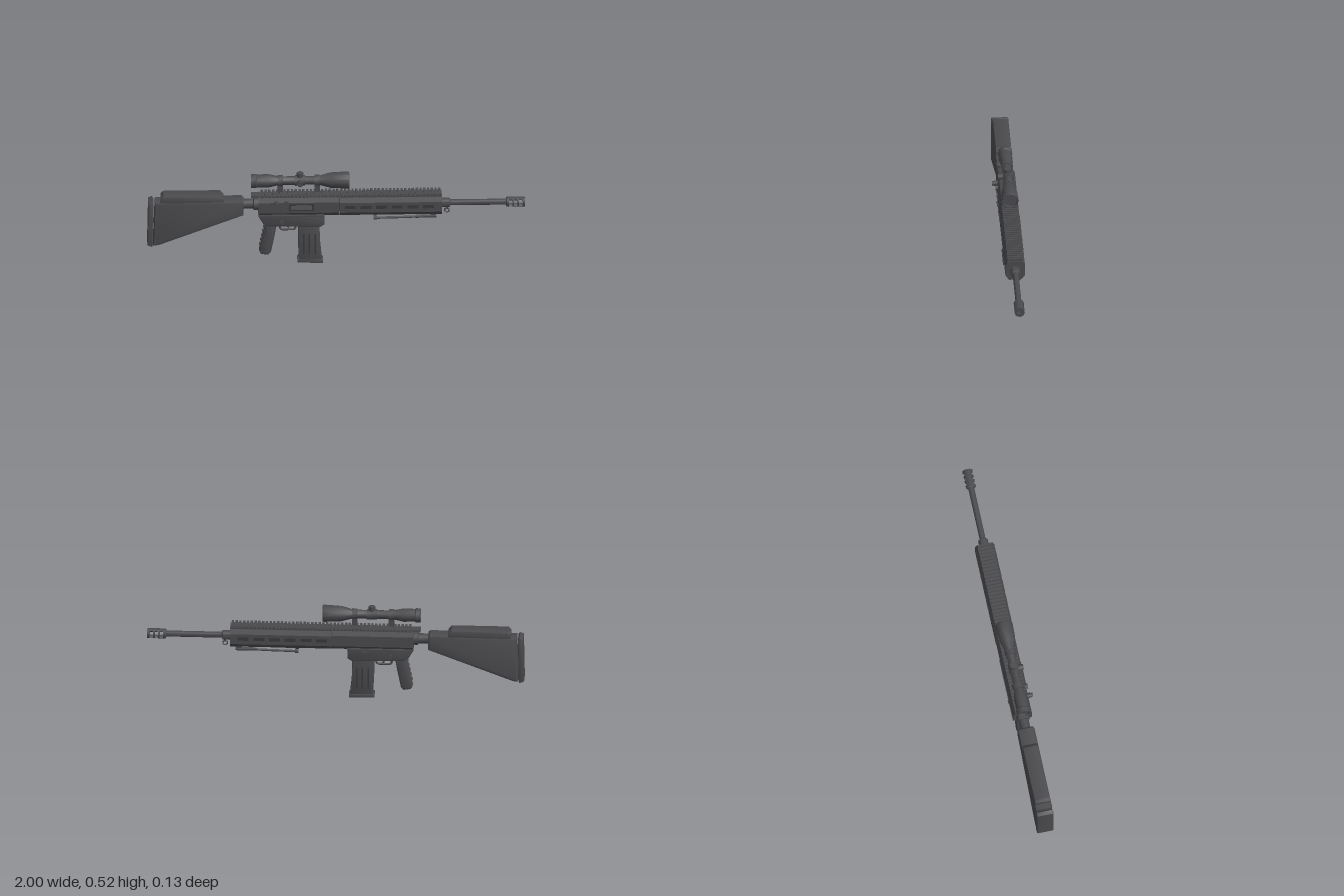
import * as THREE from 'three';
import { toCreasedNormals } from 'three/addons/utils/BufferGeometryUtils.js';

export function createModel() {
  const model = new THREE.Group();
  const body = new THREE.Group();
  body.name = 'rifle';
  body.position.z = -0.011;
  model.add(body);

  const gunmetal = new THREE.MeshStandardMaterial({ color: 0x4a4a4d });
  gunmetal.name = 'gunmetal';
  const recess = new THREE.MeshStandardMaterial({ color: 0x38383b });
  recess.name = 'dark recess';
  const steel = new THREE.MeshStandardMaterial({ color: 0x545759 });
  steel.name = 'worn steel';

  const add = (name, geo, mat = gunmetal) => {
    const mesh = new THREE.Mesh(geo, mat);
    mesh.name = name;
    body.add(mesh);
    return mesh;
  };
  // box given by its limits in x and y, its width and its middle in z
  const box = (name, x0, x1, y0, y1, w, z = 0, mat = gunmetal) => {
    const mesh = add(name, new THREE.BoxGeometry(x1 - x0, y1 - y0, w), mat);
    mesh.position.set((x0 + x1) / 2, (y0 + y1) / 2, z);
    return mesh;
  };
  // turned part along x from [x, radius] pairs
  const turned = (name, pts, y, z = 0, sides = 16) => {
    const geo = new THREE.LatheGeometry(pts.map(([x, r]) => new THREE.Vector2(r, x)), sides);
    geo.rotateZ(-Math.PI / 2);
    const mesh = add(name, toCreasedNormals(geo, 0.6));
    mesh.position.set(0, y, z);
    return mesh;
  };
  // side profile in x, y with bevelled flanks, centred on z = 0
  const slab = (name, pts, w, bevel) => {
    const shape = new THREE.Shape(pts.map(([x, y]) => new THREE.Vector2(x, y)));
    const geo = new THREE.ExtrudeGeometry(shape, {
      depth: w - 2 * bevel, bevelThickness: bevel, bevelSize: bevel, bevelOffset: -bevel, bevelSegments: 2,
    });
    geo.translate(0, 0, -w / 2 + bevel);
    return add(name, toCreasedNormals(geo, 0.6));
  };
  // eight-sided section in z, y pulled along x
  const housing = (name, x0, x1, half, y0, y1) => {
    const s = [[-half, y0 + 0.02], [-half + 0.015, y0], [half - 0.015, y0], [half, y0 + 0.02],
      [half, y1 - 0.025], [half - 0.012, y1], [-half + 0.012, y1], [-half, y1 - 0.025]];
    const geo = new THREE.ExtrudeGeometry(new THREE.Shape(s.map((p) => new THREE.Vector2(...p))),
      { depth: x1 - x0, bevelEnabled: false });
    geo.rotateY(Math.PI / 2);
    geo.translate(x0, 0, 0);
    return add(name, geo);
  };
  const tube = (name, pts, r) => add(name, new THREE.TubeGeometry(
    new THREE.CatmullRomCurve3(pts.map((p) => new THREE.Vector3(...p)), false, 'catmullrom', 0.1), 20, r, 8));
  const knob = (name, x, y, z0, z1, r) => {
    const mesh = add(name, new THREE.CylinderGeometry(r, r, z1 - z0, 12));
    mesh.rotation.x = Math.PI / 2;
    mesh.position.set(x, y, (z0 + z1) / 2);
  };

  // stock
  slab('buttPad', [[-1, 0.12], [-0.972, 0.11], [-0.967, 0.36], [-0.975, 0.372], [-0.995, 0.365]], 0.091, 0.006);
  slab('stock', [[-0.97, 0.115], [-0.94, 0.118], [-0.49, 0.288], [-0.49, 0.365], [-0.5, 0.375], [-0.96, 0.368]], 0.091, 0.014);
  slab('cheekRest', [[-0.93, 0.36], [-0.595, 0.36], [-0.595, 0.385], [-0.615, 0.405], [-0.915, 0.405], [-0.93, 0.39]], 0.085, 0.01);
  turned('stockNeck', [[-0.5, 0], [-0.5, 0.027], [-0.44, 0.027], [-0.435, 0.035], [-0.41, 0.035], [-0.41, 0]], 0.34);

  // upper receiver and handguard
  housing('receiver', -0.412, 0.018, 0.05, 0.285, 0.39);
  housing('handguard', 0.02, 0.56, 0.052, 0.285, 0.387);
  box('chargingHandle', -0.45, -0.405, 0.386, 0.397, 0.05);
  box('railBase', -0.4, 0.555, 0.382, 0.393, 0.074);
  for (let i = 0; i < 48; i++) box('railTooth', -0.398 + i * 0.02, -0.386 + i * 0.02, 0.39, 0.403, 0.08);
  for (const side of [1, -1]) {
    for (let i = 0; i < 6; i++) {
      const x = 0.045 + i * 0.083;
      box('handguardSlot', x, x + 0.058, 0.327, 0.345, 0.003, side * 0.0525, recess);
    }
  }
  box('portFrame', -0.25, -0.118, 0.318, 0.358, 0.006, 0.05, recess);
  box('ejectionPort', -0.24, -0.128, 0.326, 0.35, 0.006, 0.052, steel);
  knob('forwardAssist', -0.315, 0.361, 0.04, 0.066, 0.014);
  knob('assistTip', -0.315, 0.361, 0.066, 0.076, 0.011);
  knob('boltKnob', -0.262, 0.362, 0.04, 0.06, 0.014);

  // lower receiver
  slab('lowerReceiver', [[-0.412, 0.295], [-0.412, 0.28], [-0.385, 0.235], [-0.36, 0.222],
    [-0.085, 0.215], [-0.062, 0.23], [-0.062, 0.295]], 0.09, 0.01);
  box('receiverSeam', -0.41, -0.062, 0.283, 0.29, 0.104);
  knob('selector', -0.29, 0.252, -0.052, 0.052, 0.011);
  box('magazineRelease', -0.17, -0.14, 0.262, 0.278, 0.102);

  // trigger and guard
  tube('triggerGuard', [[-0.3, 0.225, 0], [-0.295, 0.192, 0], [-0.285, 0.187, 0], [-0.225, 0.187, 0],
    [-0.215, 0.195, 0], [-0.212, 0.225, 0]], 0.006);
  tube('trigger', [[-0.255, 0.225, 0], [-0.26, 0.21, 0], [-0.25, 0.196, 0]], 0.005);

  // pistol grip with finger ridges
  slab('grip', [[-0.375, 0.245], [-0.378, 0.2], [-0.408, 0.07], [-0.398, 0.05], [-0.36, 0.044],
    [-0.345, 0.06], [-0.325, 0.16], [-0.312, 0.235]], 0.056, 0.016);
  for (let i = 0; i < 5; i++) {
    const ridge = add('gripRidge', new THREE.CylinderGeometry(0.034, 0.034, 0.012, 14));
    ridge.scale.z = 0.85;
    ridge.rotation.z = -0.2;
    ridge.position.set(-0.352 - i * 0.0055, 0.205 - i * 0.026, 0);
  }

  // magazine
  slab('magazine', [[-0.202, 0.225], [-0.202, 0.12], [-0.197, 0.015], [-0.075, 0.015], [-0.085, 0.12], [-0.088, 0.225]], 0.054, 0.005);
  slab('magazineBase', [[-0.205, 0.003], [-0.07, 0], [-0.07, 0.02], [-0.205, 0.022]], 0.062, 0.003);
  for (const side of [1, -1]) {
    for (const x of [-0.172, -0.142, -0.112]) {
      box('magazineGroove', x - 0.004, x + 0.004, 0.05, 0.17, 0.004, side * 0.0265, recess);
    }
  }

  // barrel
  turned('barrel', [[0.55, 0], [0.55, 0.026], [0.6, 0.026], [0.605, 0.016], [0.9, 0.016], [0.905, 0]], 0.335);
  // muzzle brake: rings joined by upper and lower shells
  const rings = [[0.9, 0.916], [0.934, 0.943], [0.96, 0.969], [0.987, 1]];
  rings.forEach(([a, b], i) => turned('brakeRing', i === 0
    ? [[a, 0], [a, 0.022], [a + 0.005, 0.027], [b, 0.027], [b, 0]]
    : [[a, 0.011], [a, 0.027], [b, 0.027], [b, 0.011], [a, 0.011]], 0.335));
  for (const start of [-0.75, Math.PI - 0.75]) {
    const arc = new THREE.Shape();
    arc.absarc(0, 0, 0.0265, start + Math.PI / 2, start + Math.PI / 2 + 1.5, false);
    arc.absarc(0, 0, 0.017, start + Math.PI / 2 + 1.5, start + Math.PI / 2, true);
    const geo = new THREE.ExtrudeGeometry(arc, { depth: 0.09, bevelEnabled: false, curveSegments: 6 });
    geo.rotateY(Math.PI / 2);
    add('brakeShell', geo).position.set(0.905, 0.335, 0);
  }
  const loop = add('slingLoop', new THREE.TorusGeometry(0.012, 0.0035, 6, 14));
  loop.position.set(0.587, 0.29, 0);
  box('slingStud', 0.582, 0.592, 0.298, 0.315, 0.01);

  // folded bipod
  for (const side of [1, -1]) {
    const z = side * 0.026;
    tube('bipodLeg', [[0.2, 0.261, z], [0.36, 0.264, z], [0.53, 0.27, z]], 0.0065);
    turned('bipodFoot', [[0.198, 0], [0.198, 0.01], [0.215, 0.01], [0.22, 0]], 0.261, z, 10);
    turned('bipodSleeve', [[0.42, 0], [0.42, 0.009], [0.53, 0.009], [0.53, 0]], 0.268, z, 10);
  }
  box('bipodBracket', 0.5, 0.53, 0.262, 0.29, 0.062);

  // telescopic sight
  const sy = 0.473;
  turned('scope', [[-0.44, 0], [-0.44, 0.03], [-0.45, 0.031], [-0.45, 0.037], [-0.425, 0.038], [-0.42, 0.034],
    [-0.36, 0.036], [-0.3, 0.023], [-0.095, 0.023], [-0.03, 0.041], [0.065, 0.046], [0.07, 0.043],
    [0.07, 0.038], [0.058, 0.036], [0.058, 0]], sy, 0, 12);
  for (const x of [-0.295, -0.1]) {
    turned('scopeRing', [[x - 0.014, 0], [x - 0.014, 0.03], [x + 0.014, 0.03], [x + 0.014, 0]], sy, 0, 12);
    box('scopeFoot', x - 0.014, x + 0.014, 0.415, 0.455, 0.042);
  }
  turned('turretCollar', [[-0.218, 0], [-0.218, 0.028], [-0.164, 0.028], [-0.164, 0]], sy, 0, 12);
  const turret = add('elevationTurret', new THREE.CylinderGeometry(0.018, 0.018, 0.05, 12));
  turret.position.set(-0.191, 0.494, 0);
  knob('windageTurret', -0.191, sy, 0, 0.051, 0.016);

  return model;
}
